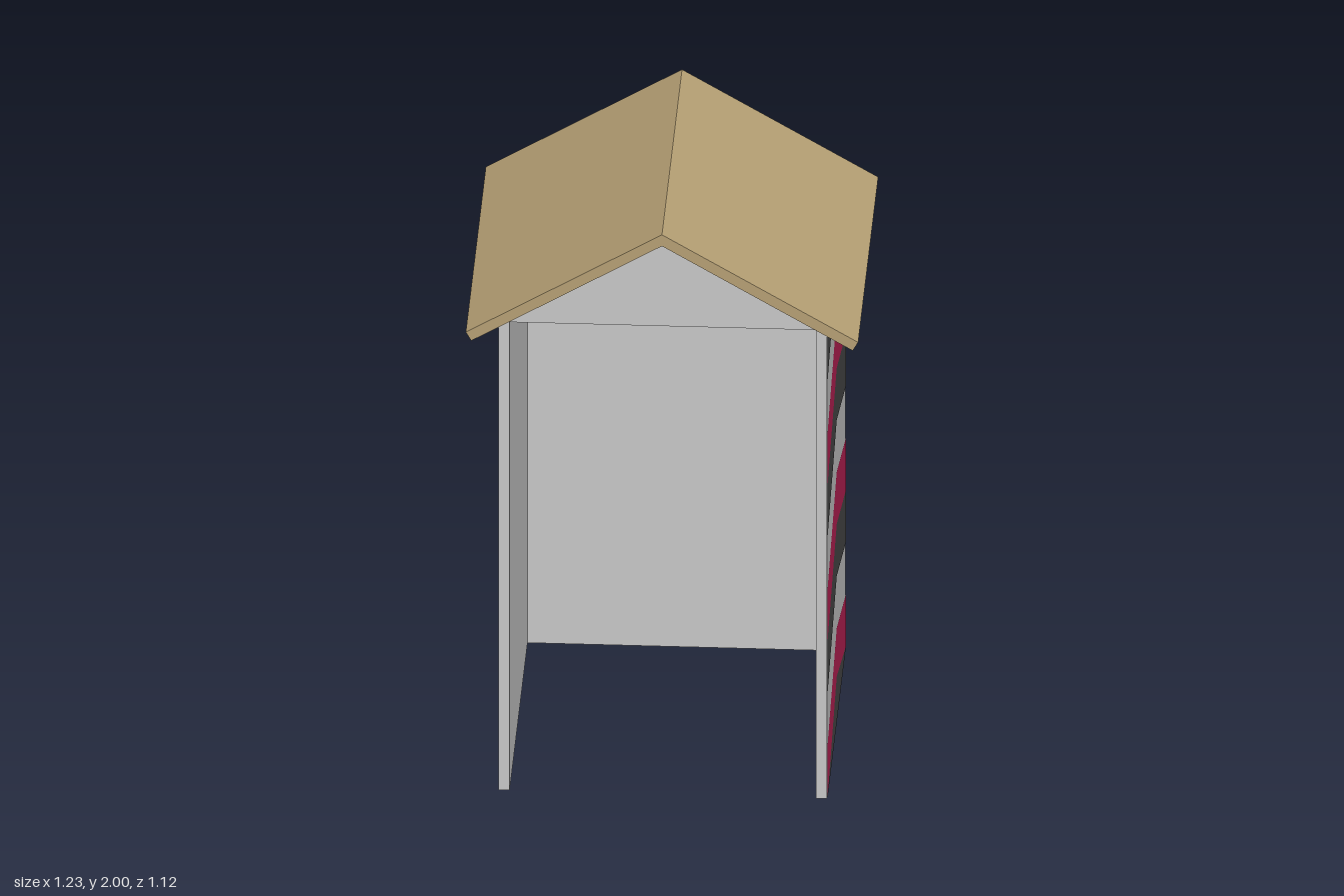
import * as THREE from 'three';

const HALF = 0.515;      // half width and half depth of the hut
const WALL = 0.035;      // wall thickness
const EAVE = 1.655;      // height of the opening
const TOP = 1.66;        // height of the side walls

const material = (name, color) => {
  const m = new THREE.MeshStandardMaterial({ color });
  m.name = name;
  return m;
};

const polygon = (points) => new THREE.Shape(points.map(([x, y]) => new THREE.Vector2(x, y)));

const extrude = (points, depth) =>
  new THREE.ExtrudeGeometry(polygon(points), { depth, bevelEnabled: false });

export function createModel() {
  const group = new THREE.Group();
  group.name = 'hut';
  const grey = material('paleGrey', 0xcacaca);
  const dark = material('charcoal', 0x4a4a4a);
  const pink = material('crimson', 0xbc2156);
  const tan = material('tanRoof', 0xb8a276);

  const add = (name, geometry, mat, parent = group) => {
    const mesh = new THREE.Mesh(geometry, mat);
    mesh.name = name;
    parent.add(mesh);
    return mesh;
  };

  // U-shaped walls, open at the front and without a floor
  const inner = HALF - WALL;
  const walls = extrude([
    [-HALF, -HALF], [-inner, -HALF], [-inner, inner], [inner, inner],
    [inner, -HALF], [HALF, -HALF], [HALF, HALF], [-HALF, HALF],
  ], EAVE);
  walls.rotateX(-Math.PI / 2);
  add('walls', walls, grey);

  // Gable block above the opening
  const gable = extrude([
    [-HALF, EAVE], [HALF, EAVE], [HALF, TOP], [0, 1.962], [-HALF, TOP],
  ], HALF * 2);
  gable.translate(0, 0, -HALF);
  add('gable', gable, grey);

  // Pitched roof with overhanging eaves
  const roof = extrude([
    [0, 2], [-0.615, 1.638], [-0.598, 1.608], [0, 1.96], [0.598, 1.608], [0.615, 1.638],
  ], 1.116);
  roof.translate(0, 0, -0.558);
  add('roof', roof, tan);

  // Chevron stripes on both side walls; the bare wall is the third colour
  const pitch = 0.184;
  const edge = (k) => Math.min(k * pitch, TOP);
  const apex = (k) => Math.min(k === 0 ? 0.162 : k * pitch + 0.149, TOP);
  for (const side of [-1, 1]) {
    const stripes = new THREE.Group();
    stripes.name = side > 0 ? 'leftStripes' : 'rightStripes';
    stripes.position.x = side * (HALF + 0.0015);
    stripes.rotation.y = side * Math.PI / 2;
    group.add(stripes);

    add('darkStripe', new THREE.ShapeGeometry(polygon([[-HALF, 0], [HALF, 0], [0, apex(0)]])), dark, stripes);
    for (let k = 1; k <= 8; k++) {
      if (k % 3 === 2) continue;
      const band = polygon([
        [-HALF, edge(k - 1)], [0, apex(k - 1)], [HALF, edge(k - 1)],
        [HALF, edge(k)], [0, apex(k)], [-HALF, edge(k)],
      ]);
      add(k % 3 ? 'pinkStripe' : 'darkStripe', new THREE.ShapeGeometry(band), k % 3 ? pink : dark, stripes);
    }
    // Top band, cut off by the eaves
    const cap = polygon([
      [-HALF, edge(8)], [0, apex(8)], [HALF, edge(8)], [HALF, TOP], [-HALF, TOP],
    ]);
    add('darkStripe', new THREE.ShapeGeometry(cap), dark, stripes);
  }
  return group;
}
